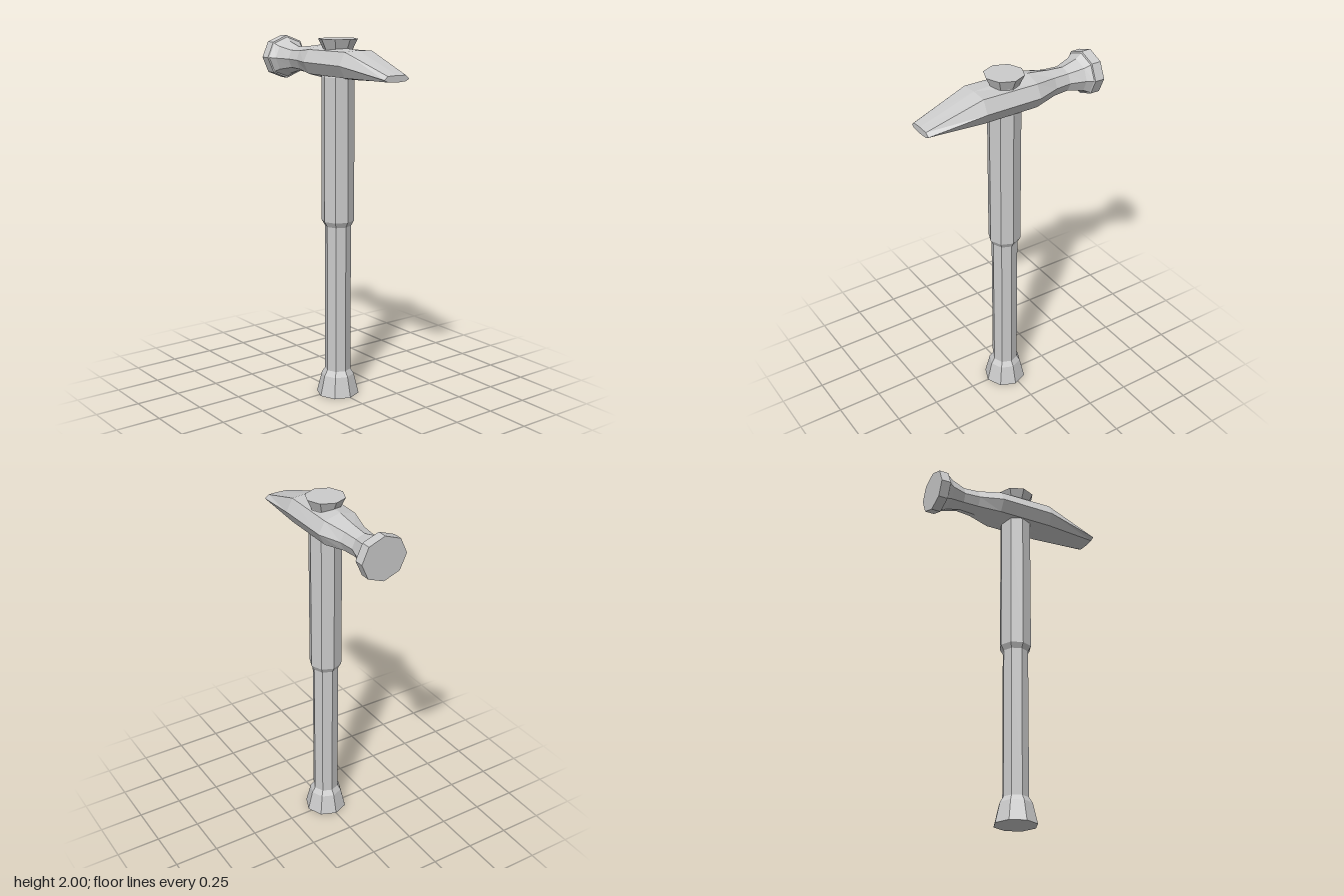
import * as THREE from 'three';

const material = new THREE.MeshStandardMaterial({ color: 0xcccccc, flatShading: true, roughness: 0.8 });

// Joins eight-sided cross-sections along x into a closed solid.
// Section: [x, ridgeTop, shoulderTop, middle, shoulderBottom, ridgeBottom, halfWidth, shoulderHalfWidth]
function loftHead(sections) {
  const positions = [];
  const index = [];
  const n = 8;
  for (const [x, top, upper, mid, lower, bottom, w, s] of sections) {
    positions.push(
      x, top, 0, x, upper, s, x, mid, w, x, lower, s,
      x, bottom, 0, x, lower, -s, x, mid, -w, x, upper, -s
    );
  }
  for (let i = 0; i < sections.length - 1; i++) {
    for (let j = 0; j < n; j++) {
      const k = (j + 1) % n;
      const a = i * n + j, d = i * n + k, b = a + n, c = d + n;
      index.push(a, d, c, a, c, b);
    }
  }
  // flat end caps
  const last = (sections.length - 1) * n;
  for (let j = 1; j < n - 1; j++) {
    index.push(0, j + 1, j);
    index.push(last, last + j, last + j + 1);
  }
  const geometry = new THREE.BufferGeometry();
  geometry.setAttribute('position', new THREE.Float32BufferAttribute(positions, 3));
  geometry.setIndex(index);
  const flat = geometry.toNonIndexed();
  flat.computeVertexNormals();
  return flat;
}

export function createModel() {
  const group = new THREE.Group();

  // Octagonal handle: flared foot, slim grip, thicker upper shaft, flared end above the head
  const profile = [
    [0, 0], [0.12, 0], [0.092, 0.115], [0.073, 0.145], [0.073, 0.98], [0.09, 1.01],
    [0.09, 1.8], [0.08, 1.82], [0.08, 1.945], [0.107, 2], [0, 2]
  ].map(([r, y]) => new THREE.Vector2(r, y));
  const handle = new THREE.Mesh(new THREE.LatheGeometry(profile, 8), material);
  handle.name = 'handle';
  handle.position.x = 0.022;
  group.add(handle);

  // Head: round striking face, narrow neck, wide body, tapered wedge
  const head = new THREE.Mesh(loftHead([
    [-0.515, 1.995, 1.96, 1.875, 1.79, 1.755, 0.13, 0.092],
    [-0.46, 1.995, 1.96, 1.875, 1.79, 1.755, 0.13, 0.092],
    [-0.457, 1.985, 1.953, 1.875, 1.796, 1.765, 0.122, 0.087],
    [-0.425, 1.962, 1.937, 1.873, 1.81, 1.783, 0.1, 0.073],
    [-0.34, 1.938, 1.92, 1.872, 1.825, 1.805, 0.073, 0.052],
    [-0.25, 1.945, 1.923, 1.872, 1.822, 1.8, 0.081, 0.058],
    [-0.12, 1.962, 1.938, 1.872, 1.808, 1.784, 0.126, 0.09],
    [0.2, 1.948, 1.942, 1.872, 1.808, 1.793, 0.126, 0.09],
    [0.512, 1.842, 1.84, 1.822, 1.81, 1.806, 0.082, 0.059]
  ]), material);
  head.name = 'hammerHead';
  group.add(head);

  return group;
}
